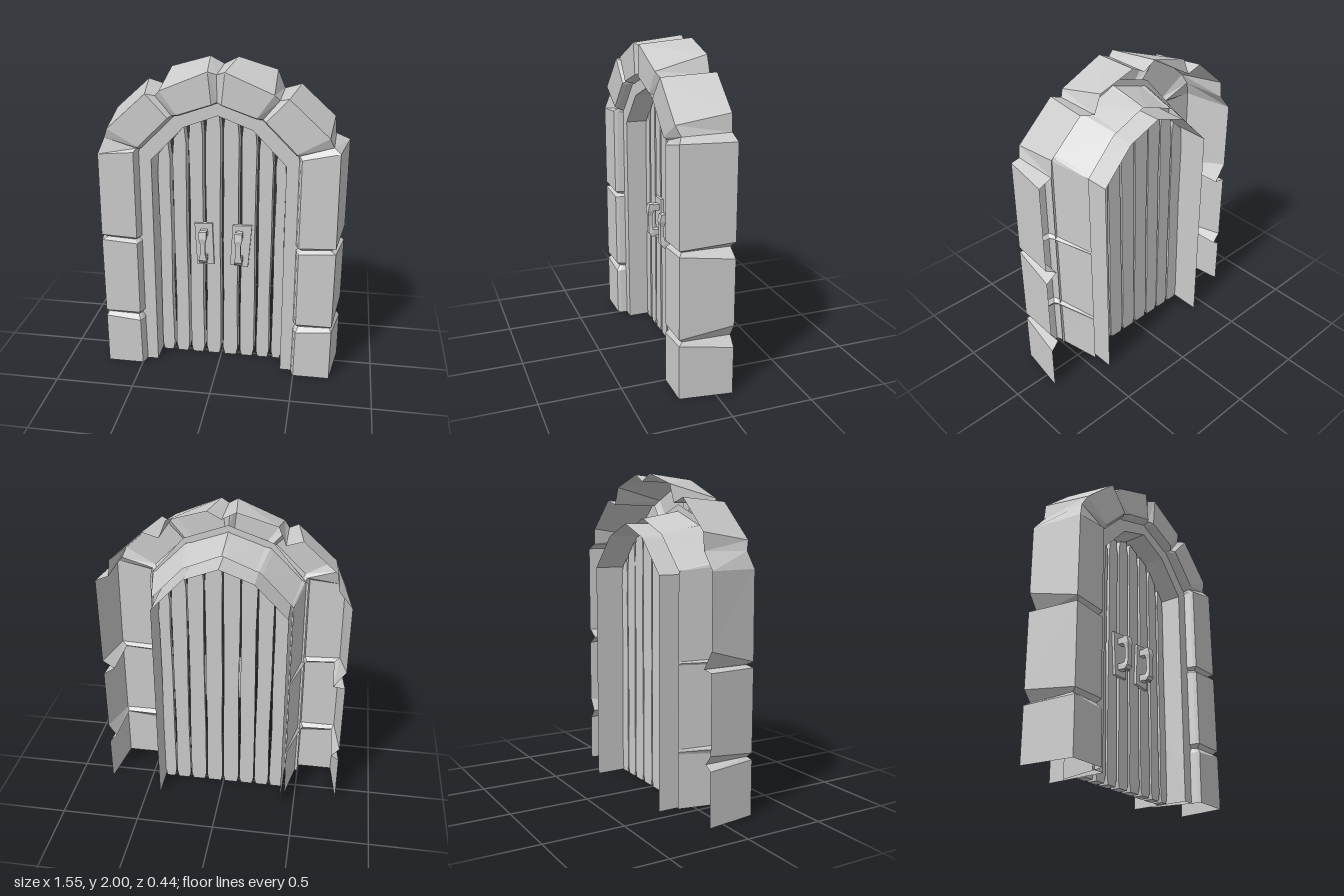
import * as THREE from 'three';

const material = new THREE.MeshStandardMaterial({ color: 0xcccccc, flatShading: true, side: THREE.DoubleSide });

function addMesh(parent, geometry, name) {
  const mesh = new THREE.Mesh(geometry, material);
  mesh.name = name;
  parent.add(mesh);
  return mesh;
}

// Skin between rows of [x, y, z] points; closed rows also get end caps (4-point rows).
function loft(rows, { flip = false, closed = false } = {}) {
  const n = rows[0].length, index = [];
  const tri = (a, b, c) => index.push(...(flip ? [a, c, b] : [a, b, c]));
  for (let i = 0; i + 1 < rows.length; i++) {
    for (let j = 0; j < (closed ? n : n - 1); j++) {
      const k = (j + 1) % n, a = i * n + j, b = i * n + k, c = b + n, d = a + n;
      tri(a, c, b);
      tri(a, d, c);
    }
  }
  if (closed) {
    const t = (rows.length - 1) * n;
    tri(0, 1, 2); tri(0, 2, 3);
    tri(t, t + 2, t + 1); tri(t, t + 3, t + 2);
  }
  let g = new THREE.BufferGeometry();
  g.setAttribute('position', new THREE.Float32BufferAttribute(rows.flat(2), 3));
  g.setIndex(index);
  g = g.toNonIndexed();
  g.computeVertexNormals();
  return g;
}

// Opening outline: right foot to apex
const opening = [[0.41, 0], [0.41, 1.41], [0.21, 1.62], [0, 1.7]];
const bandEdge = [[0.5, 0], [0.5, 1.46], [0.28, 1.72], [0, 1.82]];

function archHeight(x) {
  const a = Math.min(Math.abs(x), 0.41);
  return a < 0.21 ? 1.7 - (a / 0.21) * 0.08 : 1.62 - ((a - 0.21) / 0.2) * 0.21;
}

// Stone stations up one side: outer back, outer front, inner front, inner back (x, y each), front z.
// y is the height of the notch edges, which differ from side to side.
function stoneStations(y) {
  const F = 0.22, V = 0.195;
  return [
    [0.775, 0, 0.73, 0, 0.5, 0, 0.43, 0, F],
    [0.775, y[0], 0.73, 0.34, 0.505, 0.32, 0.43, 0.34, F],
    [0.725, 0.36, 0.715, 0.36, 0.52, 0.355, 0.435, 0.355, V],
    [0.775, y[1], 0.73, 0.38, 0.505, 0.38, 0.43, 0.37, F],
    [0.775, y[2], 0.73, 0.885, 0.505, 0.87, 0.43, 0.88, F],
    [0.7, 0.9, 0.695, 0.9, 0.52, 0.89, 0.435, 0.89, V],
    [0.775, y[3], 0.73, 0.92, 0.505, 0.91, 0.43, 0.9, F],
    [0.775, y[4], 0.725, y[4], 0.505, 1.47, 0.43, 1.41, F],
    [0.69, 1.555, 0.685, 1.55, 0.49, 1.49, 0.43, 1.43, V],
    [0.68, 1.66, 0.66, 1.61, 0.475, 1.505, 0.42, 1.44, F],
    [0.47, 1.85, 0.42, 1.83, 0.29, 1.69, 0.24, 1.63, F],
    [0.37, 1.82, 0.365, 1.815, 0.27, 1.7, 0.22, 1.645, V],
    [0.325, 1.93, 0.335, 1.85, 0.235, 1.71, 0.2, 1.65, F],
    [0.085, 2, 0.05, 1.97, 0.03, 1.78, 0.02, 1.725, F],
    [0, 1.955, 0, 1.95, 0, 1.79, 0, 1.73, V],
  ];
}

function stoneSide(side, notchHeights) {
  const rows = stoneStations(notchHeights).map(([obx, oby, ofx, ofy, ifx, ify, ibx, iby, z]) => [
    [side * obx, oby, -0.1],
    [side * ofx, ofy, z],
    [side * ifx, ify, z],
    [side * (ifx + (ibx - ifx) * 0.15), ify + (iby - ify) * 0.15, z - 0.02],
    [side * ibx, iby, -0.1],
  ]);
  return loft(rows, { flip: side < 0 });
}

// Plank with narrower front face, slightly wavy edges, pinched ends and an arched top
function plank(x0, x1, seed) {
  const stations = [0, 0.05, 0.45, 0.85, 1.2, -0.12, 0];
  const rows = stations.map((s, i) => {
    const pinch = i === 0 || i === 6 ? 0.014 : 0.003;
    const l = x0 + pinch + (i > 1 && i < 5 ? 0.003 * (1 + Math.sin(seed * 2.3 + i * 1.9)) : 0);
    const r = x1 - pinch - (i > 1 && i < 5 ? 0.003 * (1 + Math.sin(seed * 3.1 + i * 2.4)) : 0);
    const y = (x) => (i < 5 ? s : archHeight(x) - 0.012 + s);
    const b = 0.005;
    return [[r, y(r), -0.03], [r - b, y(r), 0.03], [l + b, y(l), 0.03], [l, y(l), -0.03]];
  });
  return loft(rows, { closed: true });
}

function doorHandle(corners, x) {
  const handle = new THREE.Group();
  const shape = new THREE.Shape(corners.map(([px, py]) => new THREE.Vector2(px, py)));
  const plate = new THREE.ExtrudeGeometry(shape, { depth: 0.03, bevelEnabled: false });
  addMesh(handle, plate, 'handlePlate').position.z = 0.018;
  for (const y of [0.905, 0.735]) {
    addMesh(handle, new THREE.BoxGeometry(0.044, 0.04, 0.06), 'handleMount').position.set(x, y, 0.075);
  }
  // Waisted grip: y, half width, back z, front z
  const grip = [[0.71, 0.026, 0.085, 0.1], [0.735, 0.026, 0.085, 0.12], [0.78, 0.016, 0.095, 0.12],
    [0.85, 0.016, 0.095, 0.12], [0.885, 0.024, 0.085, 0.125], [0.93, 0.024, 0.085, 0.115]]
    .map(([y, w, zb, zf]) => [[x + w, y, zb], [x + w, y, zf], [x - w, y, zf], [x - w, y, zb]]);
  addMesh(handle, loft(grip, { closed: true }), 'handleGrip');
  return handle;
}

export function createModel() {
  const model = new THREE.Group();
  model.name = 'archedDoor';

  // Stone surround, open at the back
  const surround = new THREE.Group();
  surround.name = 'stoneSurround';
  addMesh(surround, stoneSide(1, [0.3, 0.44, 0.85, 0.95, 1.52]), 'leftStones');
  addMesh(surround, stoneSide(-1, [0.33, 0.42, 0.89, 1.01, 1.45]), 'rightStones');
  model.add(surround);

  // Thin frame: front band and deep reveal
  const half = opening.map(([x, y], i) => [
    [bandEdge[i][0], bandEdge[i][1], 0.16], [x, y, 0.16], [x, y, -0.22],
  ]);
  const mirrored = half.slice(0, -1).reverse().map((row) => row.map(([x, y, z]) => [-x, y, z]));
  addMesh(model, loft([...half, ...mirrored]), 'doorFrame');

  // Planks
  const door = new THREE.Group();
  door.name = 'doorPlanks';
  const seams = [-0.412, -0.315, -0.212, -0.107, 0.004, 0.118, 0.227, 0.33, 0.412];
  for (let i = 0; i < 8; i++) addMesh(door, plank(seams[i], seams[i + 1], i + 1), 'plank');
  model.add(door);

  // Handles
  const leftHandle = doorHandle([[0.06, 0.685], [0.175, 0.675], [0.198, 0.965], [0.075, 0.96]], 0.12);
  leftHandle.name = 'leftHandle';
  const rightHandle = doorHandle([[-0.155, 0.678], [-0.045, 0.68], [-0.055, 0.965], [-0.17, 0.96]], -0.107);
  rightHandle.name = 'rightHandle';
  model.add(leftHandle, rightHandle);

  return model;
}
